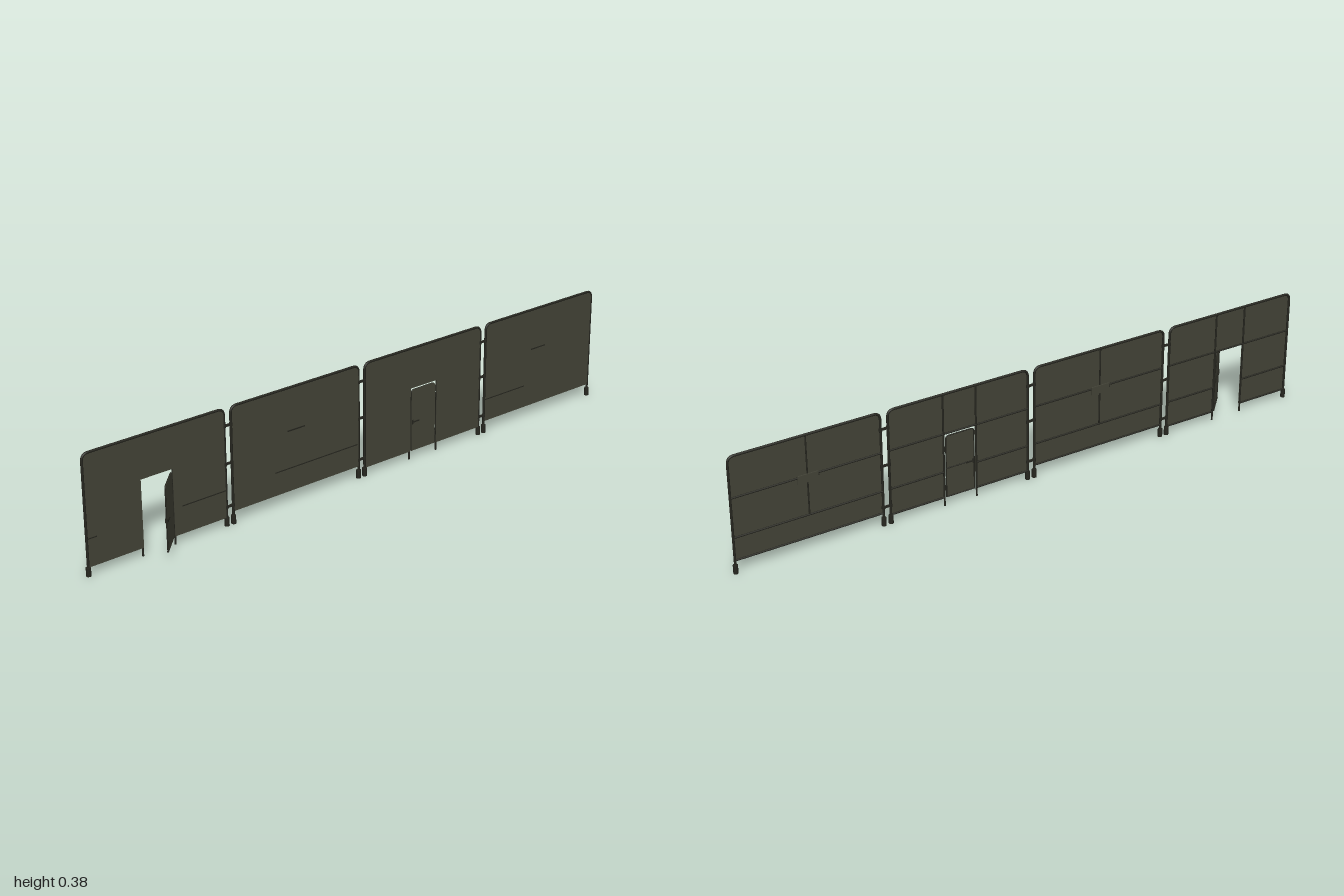
import * as THREE from 'three';

const fabric = new THREE.MeshStandardMaterial({ color: 0x434337, side: THREE.DoubleSide });
fabric.name = 'olive sheet';
const steel = new THREE.MeshStandardMaterial({ color: 0x26261f });
steel.name = 'dark steel';

const HALF = 0.239, TOP = 0.372, PITCH = 0.502, DOOR = 0.054;

function add(parent, name, geometry, material, x = 0, y = 0, z = 0) {
  const mesh = new THREE.Mesh(geometry, material);
  mesh.name = name;
  mesh.position.set(x, y, z);
  parent.add(mesh);
  return mesh;
}

// Straight round bar between two points in the panel plane
function bar(parent, name, x0, y0, x1, y1, r = 0.003, z = -0.001) {
  const mesh = add(parent, name, new THREE.CylinderGeometry(r, r, Math.hypot(x1 - x0, y1 - y0), 8),
    steel, (x0 + x1) / 2, (y0 + y1) / 2, z);
  mesh.rotation.z = Math.atan2(y1 - y0, x1 - x0) - Math.PI / 2;
}

// Bent tube: up one side, round both top corners and down the other
function hoop(parent, name, x0, x1, bottom, top, r, radius) {
  const v = (x, y) => new THREE.Vector3(x, y, 0);
  const path = new THREE.CurvePath();
  path.add(new THREE.LineCurve3(v(x0, bottom), v(x0, top - r)));
  path.add(new THREE.QuadraticBezierCurve3(v(x0, top - r), v(x0, top), v(x0 + r, top)));
  path.add(new THREE.LineCurve3(v(x0 + r, top), v(x1 - r, top)));
  path.add(new THREE.QuadraticBezierCurve3(v(x1 - r, top), v(x1, top), v(x1, top - r)));
  path.add(new THREE.LineCurve3(v(x1, top - r), v(x1, bottom)));
  add(parent, name, new THREE.TubeGeometry(path, 200, radius, 8), steel);
}

// Thin sheet with rounded top corners and an optional doorway
function sheet(parent, name, x0, x1, bottom, top, r, doorway, z) {
  const s = new THREE.Shape();
  s.moveTo(x0, bottom);
  s.lineTo(x0, top - r);
  s.quadraticCurveTo(x0, top, x0 + r, top);
  s.lineTo(x1 - r, top);
  s.quadraticCurveTo(x1, top, x1, top - r);
  s.lineTo(x1, bottom);
  if (doorway) {
    s.lineTo(DOOR, bottom);
    s.lineTo(DOOR, 0.24);
    s.lineTo(-DOOR, 0.24);
    s.lineTo(-DOOR, bottom);
  }
  s.closePath();
  const geometry = new THREE.ExtrudeGeometry(s, { depth: 0.001, bevelEnabled: false, curveSegments: 8 });
  add(parent, name, geometry, fabric, 0, 0, z);
}

// Door leaf hung on its right-hand edge (+x), running towards -x
function makeDoor(parent, angle) {
  const door = new THREE.Group();
  door.name = 'door';
  door.position.x = DOOR - 0.003;
  door.rotation.y = angle;
  sheet(door, 'doorSheet', -0.1, -0.002, 0.027, 0.234, 0.012, false, 0.001);
  hoop(door, 'doorFrame', -0.1, -0.003, 0.028, 0.233, 0.012, 0.002);
  bar(door, 'doorBottomRail', -0.1, 0.029, -0.003, 0.029, 0.002);
  bar(door, 'doorMiddleRail', -0.1, 0.125, -0.003, 0.125, 0.002);
  // Latch with a small lever on both faces
  for (const z of [-0.004, 0.004]) {
    add(door, 'doorHandle', new THREE.BoxGeometry(0.026, 0.004, 0.002), steel, -0.083, 0.125, z);
    add(door, 'latchPlate', new THREE.BoxGeometry(0.006, 0.014, 0.003), steel, -0.096, 0.125, z * 0.7);
  }
  for (const y of [0.06, 0.19])
    add(door, 'hinge', new THREE.CylinderGeometry(0.0035, 0.0035, 0.014, 8), steel, 0, y, 0);
  parent.add(door);
}

function makePanel(index) {
  const panel = new THREE.Group();
  panel.name = 'fencePanel' + (index + 1);
  const hasDoor = index % 2 === 0;
  const bottom = hasDoor ? 0.027 : 0.04;

  hoop(panel, 'outerFrame', -HALF, HALF, 0.01, TOP, 0.022, 0.004);
  sheet(panel, 'panelSheet', -HALF, HALF, bottom, TOP, 0.022, hasDoor, 0.0018);

  // Feet
  for (const side of [-1, 1])
    add(panel, 'foot', new THREE.CylinderGeometry(0.0075, 0.0075, 0.027, 12), steel, side * HALF, 0.0135, 0);

  // Rails and uprights behind the sheet
  bar(panel, 'middleRail', -HALF, 0.242, HALF, 0.242);
  if (hasDoor) {
    for (const side of [-1, 1]) {
      bar(panel, 'doorPost', side * (DOOR + 0.002), 0, side * (DOOR + 0.002), TOP);
      bar(panel, 'lowerRail', side * DOOR, 0.115, side * HALF, 0.115);
      bar(panel, 'bottomRail', side * DOOR, bottom + 0.002, side * HALF, bottom + 0.002);
    }
    makeDoor(panel, index === 0 ? Math.PI / 4 : 0);
  } else {
    bar(panel, 'lowerRail', -HALF, 0.115, HALF, 0.115);
    bar(panel, 'bottomRail', -HALF, bottom + 0.002, HALF, bottom + 0.002);
    bar(panel, 'upright', 0, 0.115, 0, TOP, 0.0025);
    add(panel, 'centrePlate', new THREE.BoxGeometry(0.065, 0.026, 0.004), fabric, 0, 0.236, -0.0035);
    add(panel, 'centreClamp', new THREE.BoxGeometry(0.065, 0.004, 0.0075), steel, -0.004, 0.236, 0);
  }
  return panel;
}

export function createModel() {
  const fence = new THREE.Group();
  fence.name = 'portableFence';
  for (let i = 0; i < 4; i++) {
    const panel = makePanel(i);
    panel.position.set((i - 1.5) * PITCH, 0, -0.032);
    fence.add(panel);
  }
  // Couplers joining neighbouring posts
  for (let i = -1; i <= 1; i++) {
    for (const y of [0.06, 0.197, 0.317]) {
      const coupler = new THREE.Group();
      coupler.name = 'coupler';
      coupler.position.set(i * PITCH, y, -0.032);
      add(coupler, 'couplerLink', new THREE.BoxGeometry(0.024, 0.007, 0.005), steel);
      for (const side of [-1, 1])
        add(coupler, 'couplerRing', new THREE.CylinderGeometry(0.0052, 0.0052, 0.01, 10), steel, side * 0.012);
      fence.add(coupler);
    }
  }
  // Front edges of the lower rails that show through the sheets
  for (const [x0, x1] of [[-0.99, -0.96], [-0.67, -0.515], [-0.335, -0.02], [0.515, 0.69]])
    add(fence, 'railEdge', new THREE.BoxGeometry(x1 - x0, 0.003, 0.002), steel, (x0 + x1) / 2, 0.115, -0.029);
  return fence;
}
